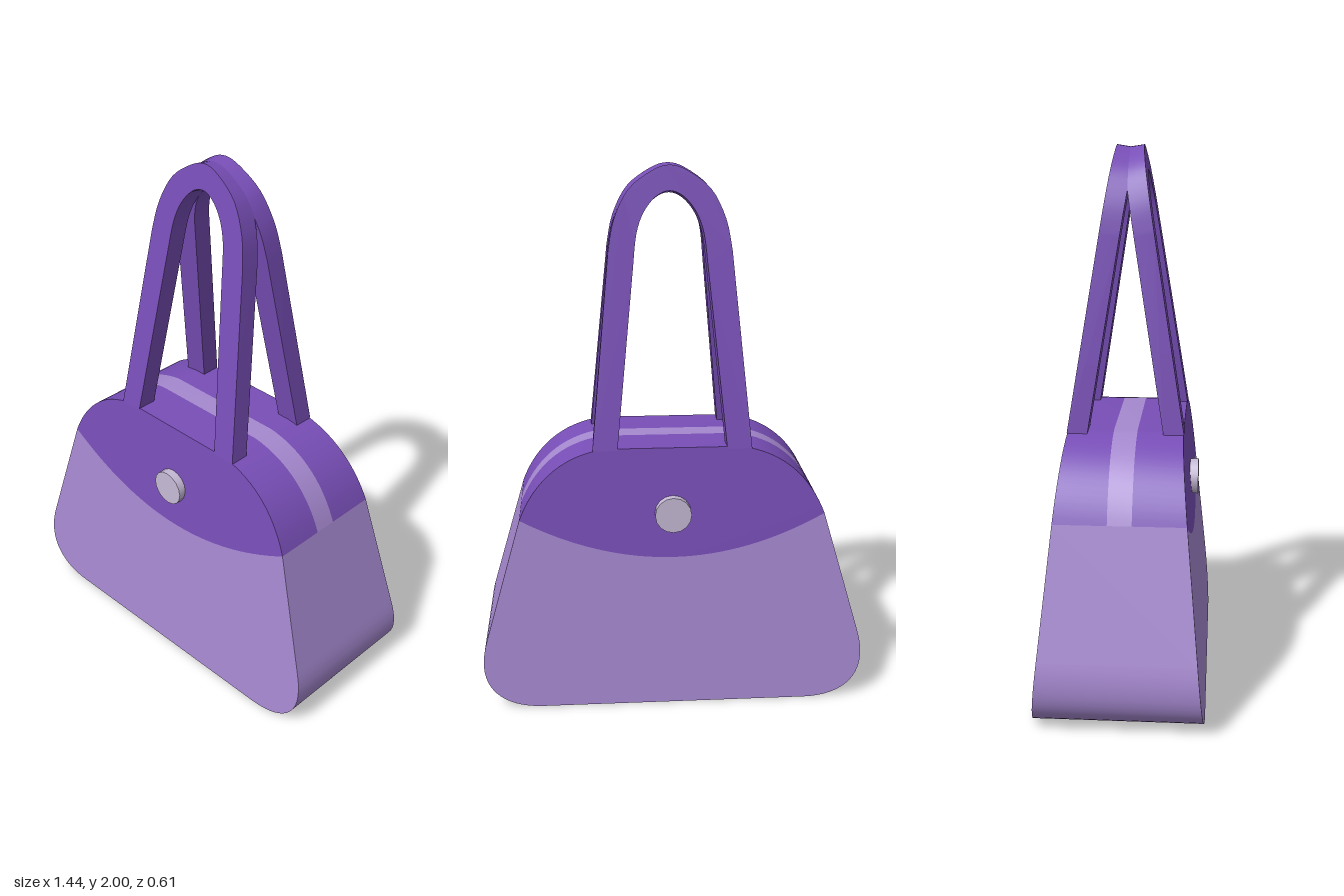
import * as THREE from 'three';
import { toCreasedNormals } from 'three/addons/utils/BufferGeometryUtils.js';

const lavender = new THREE.MeshStandardMaterial({ name: 'lavender', color: 0xa588cf });
const purple = new THREE.MeshStandardMaterial({ name: 'purple', color: 0x784eb7 });
const silver = new THREE.MeshStandardMaterial({ name: 'paleSilver', color: 0xc6bad6 });

const V = (x, y) => new THREE.Vector2(x, y);
const halfDepth = (y) => 0.305 - 0.096 * y;
const mirrored = (pts) => pts.map((p) => V(-p.x, p.y)).reverse();

function add(group, name, geometry, material) {
  const mesh = new THREE.Mesh(geometry, material);
  mesh.name = name;
  group.add(mesh);
  return mesh;
}

// Band of side wall following a clockwise outline, between two depths
function wall(path, back, front) {
  const n = path.length - 1;
  const geo = new THREE.PlaneGeometry(1, 1, n, 1);
  const pos = geo.attributes.position;
  for (let i = 0; i < pos.count; i++) {
    const p = path[i % (n + 1)];
    pos.setXYZ(i, p.x, p.y, i <= n ? back(p.y) : front(p.y));
  }
  geo.computeVertexNormals();
  return geo;
}

// Flat face leaning with the taper of the bag
function panel(outline) {
  const geo = new THREE.ShapeGeometry(new THREE.Shape(outline));
  const pos = geo.attributes.position;
  for (let i = 0; i < pos.count; i++) pos.setZ(i, halfDepth(pos.getY(i)));
  geo.computeVertexNormals();
  return geo;
}

// Arched strap, leaning inward from its feet to the top
function handleGeometry() {
  const baseY = 0.985, tilt = Math.atan(0.16), thickness = 0.074;
  const arch = (pts) => {
    const local = pts.map(([x, y]) => V(x, (y - baseY) / Math.cos(tilt)));
    const foot = local.shift();
    const all = [...local, ...mirrored(local.slice(0, -1))];
    return [foot, ...new THREE.SplineCurve(all).getPoints(32), V(-foot.x, foot.y)];
  };
  const outer = arch([[0.295, baseY], [0.225, 1.7], [0.203, 1.81], [0.15, 1.915], [0.065, 1.98], [0, 2]]);
  const inner = arch([[0.203, baseY], [0.135, 1.65], [0.122, 1.76], [0.095, 1.835], [0.05, 1.89], [0, 1.91]]);
  const shape = new THREE.Shape([...outer, ...inner.reverse()]);
  const geo = new THREE.ExtrudeGeometry(shape, { depth: thickness, bevelEnabled: false });
  geo.translate(0, 0, -thickness);
  geo.rotateX(-tilt);
  geo.translate(0, baseY, 0.2125);
  return toCreasedNormals(geo, 0.6);
}

export function createModel() {
  const model = new THREE.Group();
  model.name = 'handbag';

  // Upper outline, left to right over the top
  const shoulder = new THREE.CubicBezierCurve(V(0.25, 0.992), V(0.42, 0.97), V(0.52, 0.86), V(0.57, 0.73)).getPoints(16);
  const upper = [...mirrored(shoulder), ...shoulder];

  // Lower outline, right to left under the base
  const corner = [V(0.57, 0.73), ...new THREE.CubicBezierCurve(V(0.703, 0.27), V(0.765, 0.07), V(0.64, 0), V(0.5, 0)).getPoints(16)];
  const lower = [...corner, ...mirrored(corner)];

  // Curved lower edge of the flap, right to left
  const seam = new THREE.QuadraticBezierCurve(V(0.57, 0.73), V(0, 0.42), V(-0.57, 0.73)).getPoints(32);

  // Side walls and centre strip
  const strip = 0.043;
  add(model, 'lowerWall', wall(lower, (y) => -halfDepth(y), halfDepth), lavender);
  add(model, 'topStrip', wall(upper, () => -strip, () => strip), lavender);

  // Matching front and back halves
  const flapWall = wall(upper, () => strip, halfDepth);
  const flapFace = panel([...upper, ...seam.slice(1, -1)]);
  const lowerFace = panel([...lower, ...seam.slice(1, -1).reverse()]);
  const handle = handleGeometry();
  const button = new THREE.CylinderGeometry(0.068, 0.068, 0.032, 16);
  button.rotateX(Math.PI / 2);
  button.translate(0, 0.745, 0.246);

  for (const [side, turn] of [['front', 0], ['back', Math.PI]]) {
    const half = new THREE.Group();
    half.name = side + 'Half';
    half.rotation.y = turn;
    add(half, side + 'FlapWall', flapWall, purple);
    add(half, side + 'Flap', flapFace, purple);
    add(half, side + 'Panel', lowerFace, lavender);
    add(half, side + 'Handle', handle, purple);
    add(half, side + 'Button', button, silver);
    model.add(half);
  }
  return model;
}
